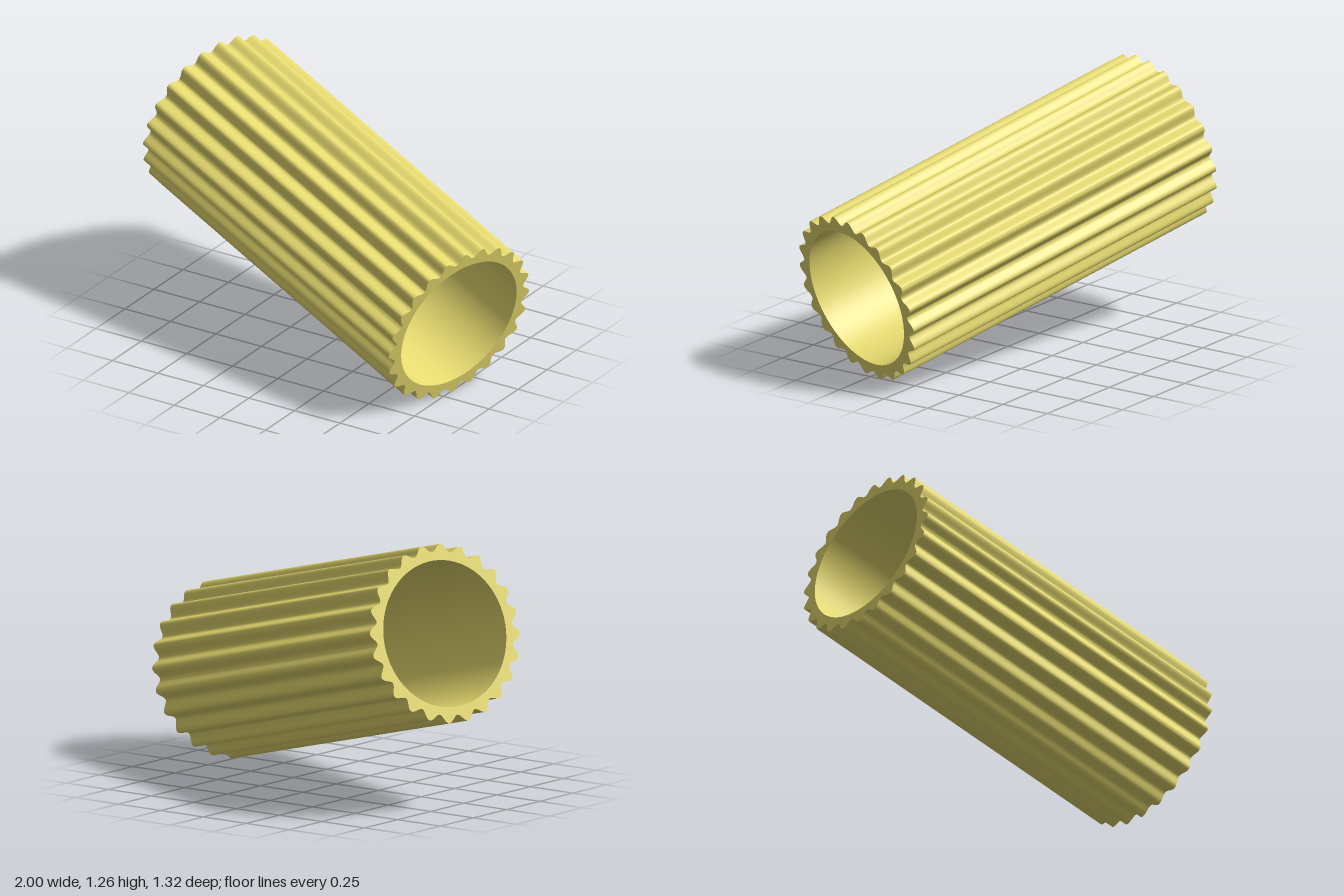
import * as THREE from 'three';
import { toCreasedNormals } from 'three/addons/utils/BufferGeometryUtils.js';

const LENGTH = 1.822, BORE = 0.342, ROOT = 0.38, TIP = 0.418;
const TEETH = 24, STEPS = 12, PHASE = -1.9 * Math.PI / 180;

// Wavy outer outline with a round bore
function splineSection() {
  const mid = (ROOT + TIP) / 2, amp = (TIP - ROOT) / 2;
  const points = [];
  for (let i = 0; i < TEETH * STEPS; i++) {
    const a = (i / (TEETH * STEPS)) * Math.PI * 2;
    const r = mid + amp * Math.cos(a * TEETH);
    points.push(new THREE.Vector2(r * Math.cos(a + PHASE), r * Math.sin(a + PHASE)));
  }
  const shape = new THREE.Shape(points);
  shape.holes.push(new THREE.Path().absarc(0, 0, BORE, 0, Math.PI * 2, true));
  return shape;
}

export function createModel() {
  const group = new THREE.Group();
  group.name = 'splinedSleeve';

  // Hollow sleeve with ridges running along its length
  const extruded = new THREE.ExtrudeGeometry(splineSection(), {
    depth: LENGTH, bevelEnabled: false, curveSegments: 72,
  });
  extruded.translate(0, 0, -LENGTH / 2);
  const sleeve = new THREE.Mesh(
    toCreasedNormals(extruded, Math.PI / 4),
    new THREE.MeshStandardMaterial({ color: 0xe8dc70 }),
  );
  sleeve.name = 'ridgedSleeve';

  // Tilt the sleeve's axis down, to the left and forward
  const axis = new THREE.Vector3(0.925, -0.247, 0.289).normalize();
  const e1 = new THREE.Vector3(0, 0.649, -0.76);
  e1.addScaledVector(axis, -e1.dot(axis)).normalize();
  const e2 = new THREE.Vector3().crossVectors(axis, e1);
  sleeve.quaternion.setFromRotationMatrix(new THREE.Matrix4().makeBasis(e1, e2, axis));
  sleeve.position.y = 0.631;
  group.add(sleeve);
  return group;
}
